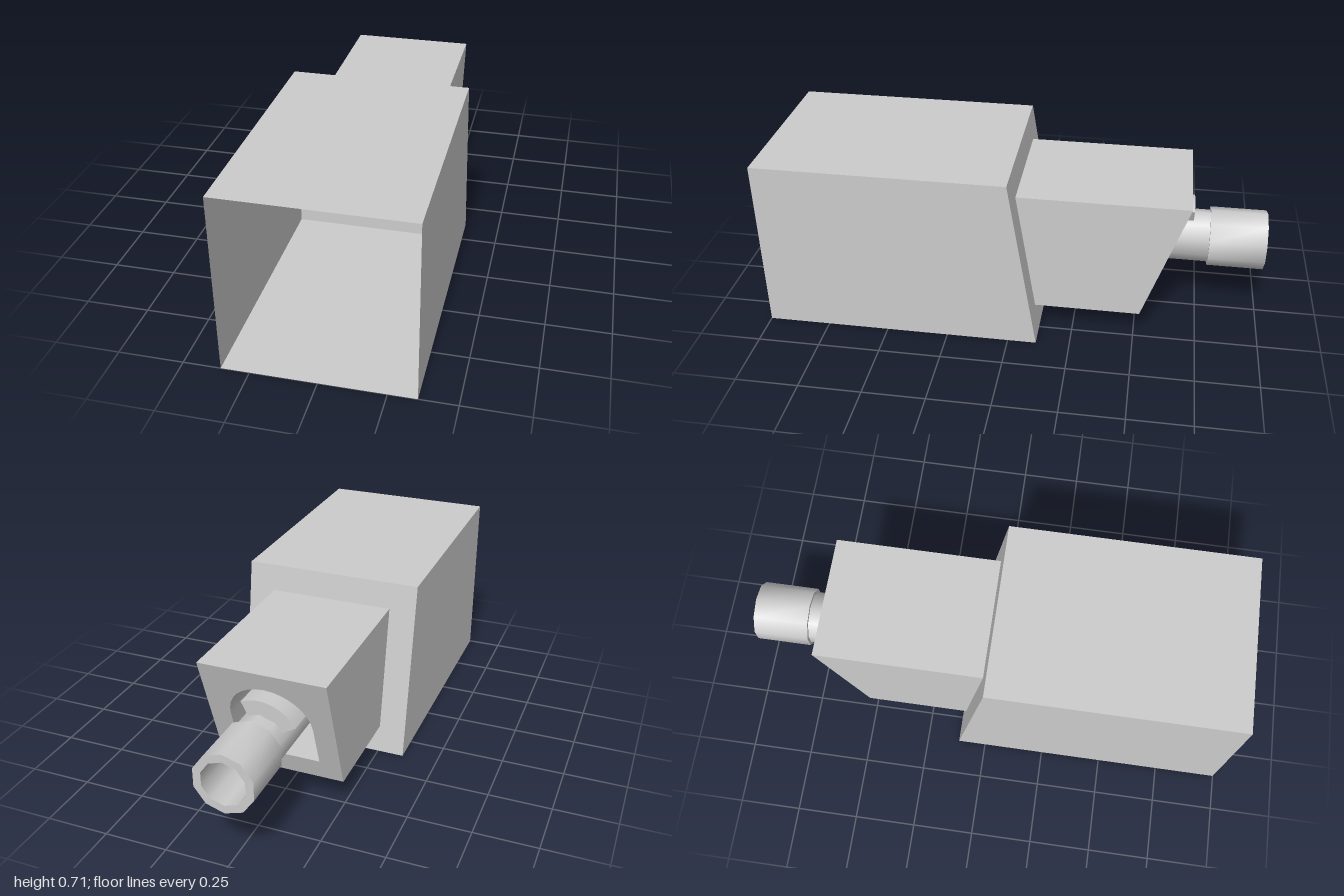
import * as THREE from 'three';
import { toCreasedNormals } from 'three/addons/utils/BufferGeometryUtils.js';

const grey = new THREE.MeshStandardMaterial({ color: 0xcccccc, side: THREE.DoubleSide });
const TUBE_Y = 0.352;

// Slanted end planes: z as a function of height
const hoodBack = y => -0.115 * (1 - y / 0.715);
const housingBack = y => -0.52 - 0.34 * (y - 0.11);

function part(name, geometry, crease = 0.8) {
  const mesh = new THREE.Mesh(toCreasedNormals(geometry, crease), grey);
  mesh.name = name;
  return mesh;
}

// Set every vertex z by a rule
function moveZ(geometry, rule) {
  const p = geometry.attributes.position;
  for (let i = 0; i < p.count; i++) p.setZ(i, rule(p.getY(i), p.getZ(i)));
  return geometry;
}

export function createModel() {
  const model = new THREE.Group();

  // Large thin-walled hood, open at the front, with a slanted back
  const hood = new THREE.BoxGeometry(0.715, 0.715, 2).translate(0, 0.3575, 0);
  const index = Array.from(hood.index.array);
  index.splice(24, 6); // leave out the +z face
  hood.setIndex(index);
  hood.clearGroups();
  moveZ(hood, (y, z) => (z > 0 ? 1 : hoodBack(y)));
  model.add(part('hood', hood, 0.3));

  // Upright panel closing the inside of the hood
  model.add(part('innerPanel', new THREE.PlaneGeometry(0.715, 0.715).translate(0, 0.3575, 0)));

  // Rear housing with an arched recess, both ends slanted
  const outline = new THREE.Shape();
  outline.moveTo(-0.25, 0.11).lineTo(0.25, 0.11).lineTo(0.25, 0.61).lineTo(-0.25, 0.61).closePath();
  const arch = new THREE.Path();
  arch.moveTo(-0.165, 0.2).lineTo(0.165, 0.2).lineTo(0.165, 0.37);
  arch.absarc(0, 0.37, 0.165, 0, Math.PI, false);
  arch.lineTo(-0.165, 0.2);
  outline.holes.push(arch);
  const housing = new THREE.ExtrudeGeometry(outline, { depth: 1, bevelEnabled: false, curveSegments: 8 });
  moveZ(housing, (y, z) => (z < 0.5 ? housingBack(y) : hoodBack(y) + 0.002));
  model.add(part('rearHousing', housing, 0.5));

  // Hollow ten-sided tube with a wider end sleeve
  const profile = [[0.106, 0.05], [0.106, 0.775], [0.12, 0.775], [0.12, 1], [0.088, 1], [0.088, 0.05]]
    .map(([r, d]) => new THREE.Vector2(r, d));
  const tube = new THREE.LatheGeometry(profile, 10).rotateX(-Math.PI / 2).translate(0, TUBE_Y, 0);
  model.add(part('tube', tube));

  // Curved saddle over the tube
  const from = 1.12, to = 2.62;
  const arc = new THREE.Shape();
  arc.absarc(0, 0, 0.162, from, to, false);
  arc.absarc(0, 0, 0.1, to, from, true);
  arc.closePath();
  const saddle = new THREE.ExtrudeGeometry(arc, { depth: 0.6, bevelEnabled: false, curveSegments: 4 });
  saddle.translate(0, TUBE_Y, -0.708);
  model.add(part('saddle', saddle));

  return model;
}
